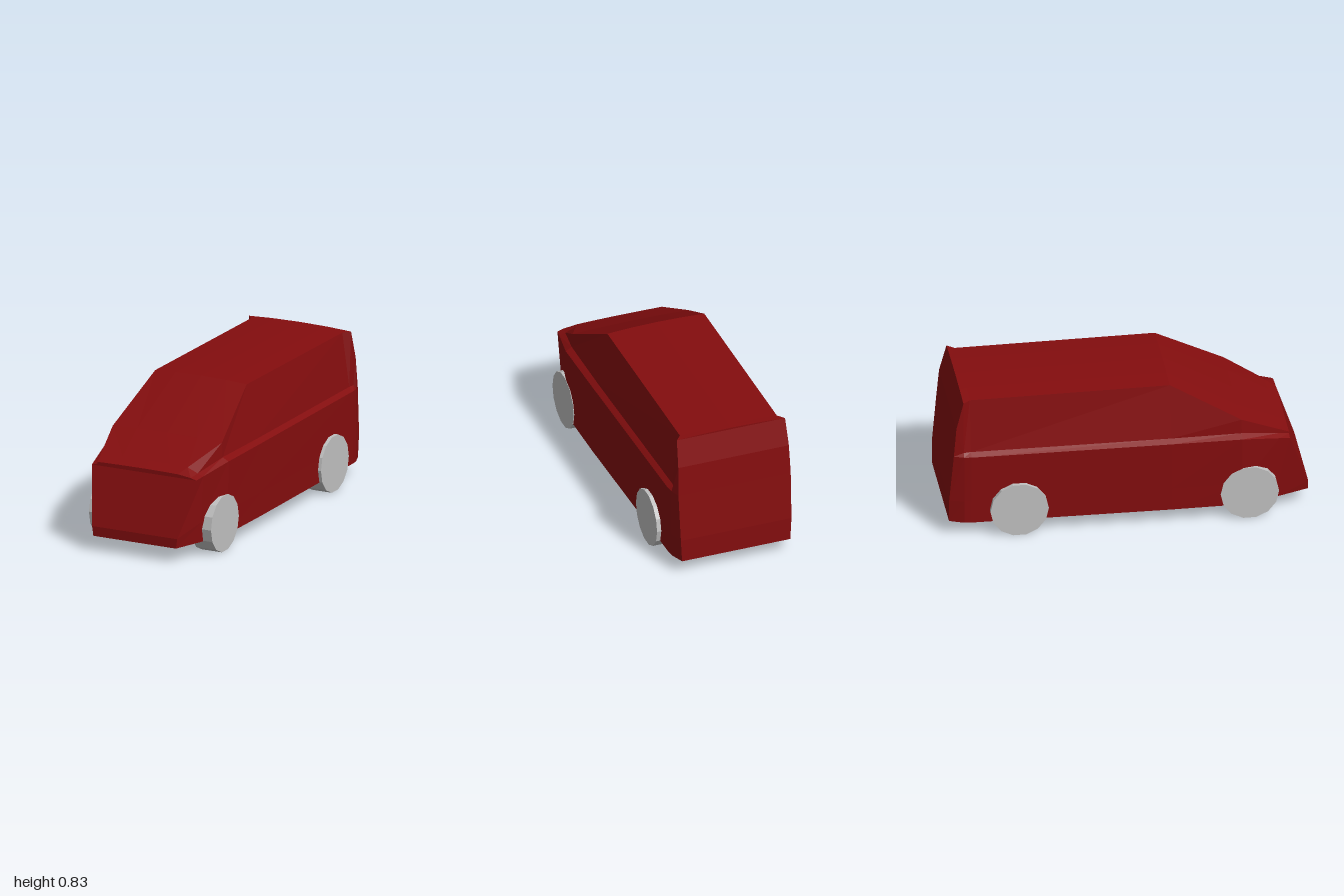
import * as THREE from 'three';

const paint = new THREE.MeshStandardMaterial({ color: 0x840d0e, side: THREE.DoubleSide });
paint.name = 'dark red paint';
const wheelGrey = new THREE.MeshStandardMaterial({ color: 0xc0c0c0 });
wheelGrey.name = 'light grey wheel';

// Half sections from nose to tail: bottom, sill, belt outer, belt inner, roof edge as [x, y, z].
// "crown" is the rise at the centre, "rightX" a different roof edge x on the -x side.
const at = (z, pts) => pts.map(([x, y]) => [x, y, z]);
const sections = [
  { crown: 0.003, rightX: 0.29, pts: [[0.257, 0.085, 1], [0.265, 0.14, 1], [0.325, 0.455, 0.89], [0.29, 0.465, 0.89], [0.21, 0.475, 0.89]] },
  { crown: 0.004, rightX: 0.301, pts: at(0.83, [[0.316, 0.085], [0.325, 0.2], [0.337, 0.465], [0.302, 0.477], [0.239, 0.503]]) },
  { crown: 0.008, pts: at(0.62, [[0.376, 0.085], [0.378, 0.22], [0.38, 0.5], [0.345, 0.52], [0.34, 0.603]]) },
  { crown: 0.01, pts: at(0.23, [[0.375, 0.085], [0.375, 0.22], [0.375, 0.5], [0.345, 0.52], [0.285, 0.825]]) },
  { crown: 0.01, pts: at(-0.88, [[0.353, 0.085], [0.353, 0.22], [0.355, 0.5], [0.328, 0.52], [0.285, 0.825]]) },
  { crown: 0.01, pts: at(-0.92, [[0.349, 0.085], [0.349, 0.22], [0.35, 0.5], [0.332, 0.52], [0.318, 0.825]]) },
  { crown: 0.01, pts: [[0.318, 0.085, -1], [0.325, 0.22, -1], [0.33, 0.5, -0.975], [0.325, 0.67, -0.96], [0.318, 0.825, -0.92]] },
];

// Full section from the left sill over the crowned roof to the right sill
function ring({ pts, crown, rightX }) {
  const [ex, ey, ez] = pts[4];
  const rx = rightX ?? ex;
  const right = pts.map(([x, y, z]) => [-x, y, z]);
  right[4][0] = -rx;
  return [
    ...pts, [ex * 0.55, ey + crown * 0.7, ez], [0, ey + crown, ez],
    [-rx * 0.55, ey + crown * 0.7, ez], ...right.reverse(),
  ];
}

// Flat-faced geometry from a list of four-cornered faces
function quadGeometry(quads) {
  const positions = [];
  for (const [a, b, c, d] of quads) positions.push(...a, ...b, ...c, ...a, ...c, ...d);
  const geometry = new THREE.BufferGeometry();
  geometry.setAttribute('position', new THREE.Float32BufferAttribute(positions, 3));
  geometry.computeVertexNormals();
  return geometry;
}

// End panel joining the two sides of one section
function endPanel(r, facing) {
  const quads = [];
  const last = r.length - 1;
  for (let i = 0; i < last / 2; i++) {
    const q = [r[last - i], r[i], r[i + 1], r[last - i - 1]];
    quads.push(facing > 0 ? q : q.reverse());
  }
  return quadGeometry(quads);
}

export function createModel() {
  const model = new THREE.Group();
  model.name = 'van';
  const add = (name, geometry, material) => {
    const mesh = new THREE.Mesh(geometry, material);
    mesh.name = name;
    model.add(mesh);
    return mesh;
  };

  // Hollow shell, open underneath: sides, belt ledge, windows, bonnet and roof
  const rings = sections.map(ring);
  const skin = [];
  for (let s = 0; s < rings.length - 1; s++) {
    const p = rings[s], q = rings[s + 1];
    for (let j = 0; j < p.length - 1; j++) skin.push([p[j], q[j], q[j + 1], p[j + 1]]);
  }
  add('bodyShell', quadGeometry(skin), paint);
  add('nosePanel', endPanel(rings[0], 1), paint);
  add('tailgate', endPanel(rings[rings.length - 1], -1), paint);

  // Fourteen-sided wheels
  const wheel = new THREE.CylinderGeometry(0.162, 0.162, 0.125, 14).rotateZ(Math.PI / 2).toNonIndexed();
  wheel.computeVertexNormals();
  for (const [end, z] of [['front', 0.66], ['rear', -0.617]]) {
    for (const side of [1, -1]) {
      add(end + (side > 0 ? 'Left' : 'Right') + 'Wheel', wheel, wheelGrey)
        .position.set(side * 0.3175, 0.158, z);
    }
  }
  return model;
}
